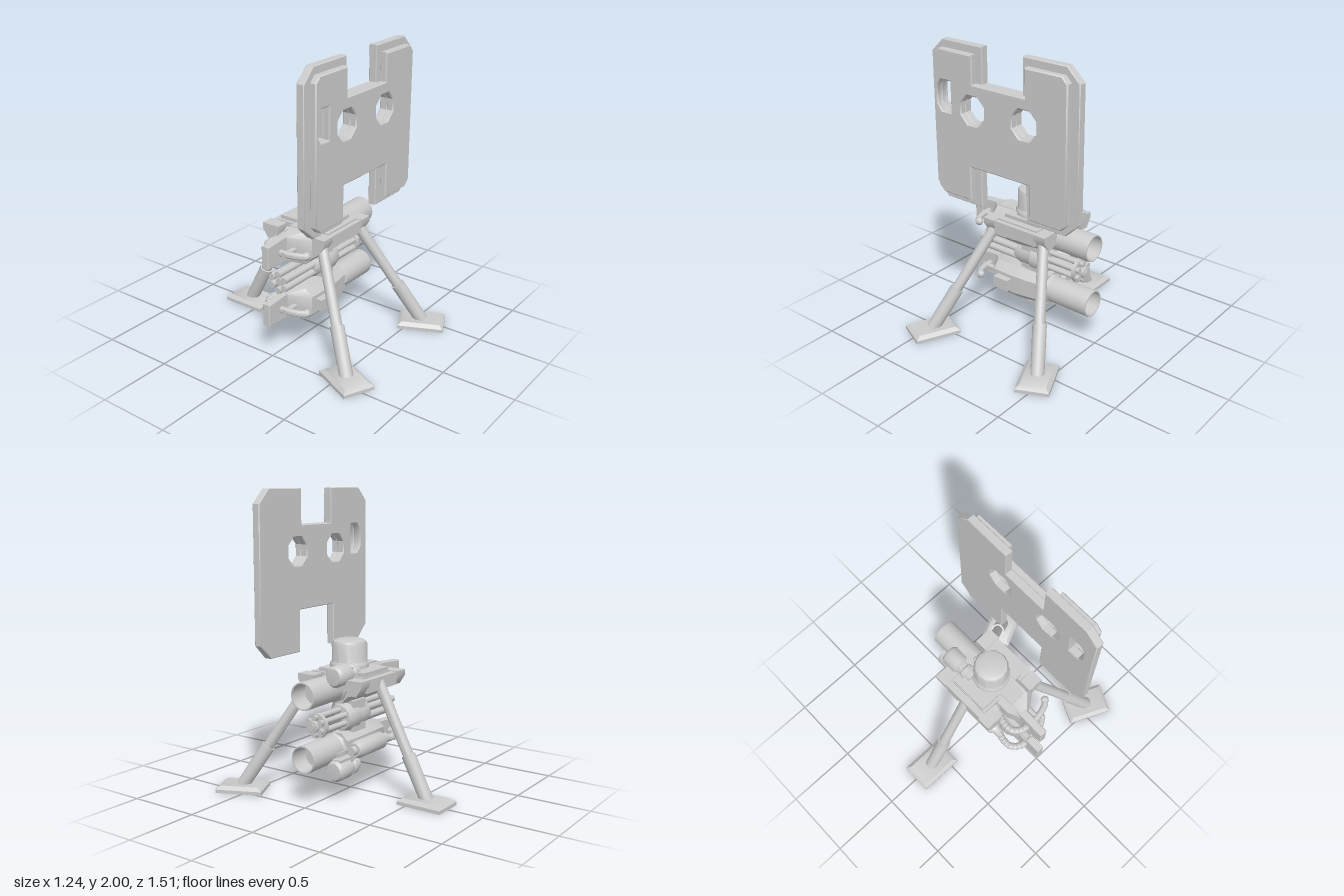
import * as THREE from 'three';
import { toCreasedNormals } from 'three/addons/utils/BufferGeometryUtils.js';

const mat = new THREE.MeshStandardMaterial({ color: 0xcccccc, side: THREE.DoubleSide });
const V = (x, y, z) => new THREE.Vector3(x, y, z);

function add(parent, name, geo, x = 0, y = 0, z = 0) {
  const m = new THREE.Mesh(toCreasedNormals(geo, 0.7), mat);
  m.name = name;
  m.position.set(x, y, z);
  parent.add(m);
  return m;
}
// Box given by its limits
function block(parent, name, x0, x1, y0, y1, z0, z1) {
  return add(parent, name, new THREE.BoxGeometry(x1 - x0, y1 - y0, z1 - z0), (x0 + x1) / 2, (y0 + y1) / 2, (z0 + z1) / 2);
}
// Round bar between two points
function rod(parent, name, a, b, ra, rb = ra, sides = 14) {
  const m = add(parent, name, new THREE.CylinderGeometry(rb, ra, a.distanceTo(b), sides));
  m.position.copy(a).lerp(b, 0.5);
  m.quaternion.setFromUnitVectors(V(0, 1, 0), b.clone().sub(a).normalize());
  return m;
}
// Turned part lying along x; profile is [radius, x]
function turned(parent, name, profile, y, z, sides = 20) {
  const g = new THREE.LatheGeometry(profile.map(p => new THREE.Vector2(p[0], p[1])), sides);
  g.rotateZ(-Math.PI / 2);
  return add(parent, name, g, 0, y, z);
}
// Chamfered-rectangle sections along x: [x, y, z, halfHeight, halfDepth]
function loft(sections, c = 0.5) {
  const ring = [[1, -c], [1, c], [c, 1], [-c, 1], [-1, c], [-1, -c], [-c, -1], [c, -1]];
  const pos = [], idx = [], n = 8;
  for (const [x, y, z, h, d] of sections) for (const [a, b] of ring) pos.push(x, y + a * h, z + b * d);
  const last = (sections.length - 1) * n;
  for (let s = 0; s < last; s += n)
    for (let i = 0; i < n; i++) {
      const a = s + i, b = s + (i + 1) % n;
      idx.push(a, b, b + n, a, b + n, a + n);
    }
  for (let i = 1; i < n - 1; i++) idx.push(0, i + 1, i, last, last + i, last + i + 1);
  const g = new THREE.BufferGeometry();
  g.setAttribute('position', new THREE.Float32BufferAttribute(pos, 3));
  g.setIndex(idx);
  return g.toNonIndexed();
}
const points = list => list.map(p => new THREE.Vector2(p[0], p[1]));

// Plate with notches, two octagonal ports and a slot
function shieldPlate(outline, depth, bevel) {
  const shape = new THREE.Shape(points(outline));
  for (const x of [-0.21, 0.2]) {
    const oct = [];
    for (let i = 0; i < 8; i++) {
      const t = (i + 0.5) * Math.PI / 4;
      oct.push([x + 0.101 * Math.cos(t), 1.595 + 0.101 * Math.sin(t)]);
    }
    shape.holes.push(new THREE.Path(points(oct)));
  }
  shape.holes.push(new THREE.Path(points([[-0.39, 1.545], [-0.39, 1.75], [-0.465, 1.75], [-0.5, 1.705], [-0.5, 1.59], [-0.465, 1.545]])));
  return new THREE.ExtrudeGeometry(shape, {
    depth: depth - bevel, bevelEnabled: true, bevelThickness: bevel, bevelSize: bevel, bevelOffset: -bevel, bevelSegments: 1
  });
}
function outline(w, cut, bottom, top, topNotch, lowNotch, yTop, yLow) {
  const right = [[lowNotch, yLow], [lowNotch, bottom], [w - cut, bottom], [w, bottom + cut],
    [w, top - cut], [w - cut, top], [topNotch, top], [topNotch, yTop]];
  return right.concat(right.map(p => [-p[0], p[1]]).reverse());
}

// Heavy launcher along x; s = 1 carries its scope above, s = -1 below
function launcher(name, y, s) {
  const g = new THREE.Group();
  g.name = name;
  g.position.y = y;
  turned(g, 'barrel', [[0.001, 0.1], [0.088, 0.1], [0.092, 0.48], [0.09, 0.49], [0.082, 0.49], [0.08, 0.36], [0.001, 0.36]], 0, 0.02, 24);
  add(g, 'body', loft([
    [-0.35, 0, -0.01, 0.085, 0.03], [-0.26, 0, 0.03, 0.115, 0.115], [-0.08, 0, 0.03, 0.118, 0.12],
    [0.02, 0, 0.025, 0.112, 0.115], [0.15, 0, 0.02, 0.105, 0.1]], 0.55));
  turned(g, 'barrelCollar', [[0.001, 0.13], [0.104, 0.13], [0.104, 0.165], [0.094, 0.175]], 0, 0.02, 8);
  block(g, 'sideBox', -0.22, -0.1, -0.04, 0.04, 0.13, 0.195);
  block(g, 'ridgeBlock', -0.25, 0.06, s * 0.1 - 0.02, s * 0.1 + 0.02, -0.04, 0.08);
  // Flat tapered stock
  const stock = new THREE.Shape(points([[-0.535, -0.075], [-0.15, -0.1], [-0.15, 0.1], [-0.35, 0.092], [-0.535, 0.078]]));
  add(g, 'stock', new THREE.ExtrudeGeometry(stock, { depth: 0.045, bevelThickness: 0.005, bevelSize: 0.005, bevelOffset: -0.005, bevelSegments: 1 }), 0, 0, -0.04);
  // Curved handle
  const grip = new THREE.CatmullRomCurve3([V(-0.41, 0, 0), V(-0.405, 0, 0.07), V(-0.385, 0, 0.14), V(-0.36, 0, 0.175)]);
  add(g, 'handle', new THREE.TubeGeometry(grip, 12, 0.023, 10));
  add(g, 'handleTip', new THREE.SphereGeometry(0.028, 10, 8), -0.355, 0, 0.175);
  rod(g, 'handleBrace', V(-0.43, 0, 0.05), V(-0.27, 0, 0.05), 0.018);
  // Canister and ribbed hose on the back
  turned(g, 'canister', [[0.001, -0.24], [0.035, -0.24], [0.035, -0.2], [0.058, -0.17], [0.058, 0.1], [0.045, 0.13], [0.03, 0.13], [0.03, 0.17], [0.001, 0.17]], 0, -0.125, 16);
  const hose = new THREE.CatmullRomCurve3([V(-0.41, 0, -0.03), V(-0.4, 0, -0.085), V(-0.36, 0, -0.135), V(-0.3, 0, -0.145), V(-0.22, 0, -0.125)]);
  add(g, 'hose', new THREE.TubeGeometry(hose, 28, 0.023, 10));
  for (let i = 0; i <= 10; i++) {
    const r = add(g, 'hoseRib', new THREE.TorusGeometry(0.022, 0.007, 6, 12));
    r.position.copy(hose.getPointAt(i / 10));
    r.quaternion.setFromUnitVectors(V(0, 0, 1), hose.getTangentAt(i / 10));
  }
  // Scope with rings and mount
  turned(g, 'scope', [[0.001, 0.07], [0.045, 0.07], [0.045, 0.1], [0.062, 0.11], [0.062, 0.14], [0.052, 0.15],
    [0.052, 0.18], [0.07, 0.19], [0.07, 0.295], [0.055, 0.315], [0.001, 0.32]], s * 0.105, -0.09, 18);
  block(g, 'scopeMount', 0.12, 0.29, Math.min(s * 0.03, s * 0.15), Math.max(s * 0.03, s * 0.15), -0.13, -0.02);
  block(g, 'scopeFoot', 0.16, 0.25, Math.min(0, s * 0.09), Math.max(0, s * 0.09), -0.08, 0.04);
  return g;
}

// Six-barrelled gun along x
function rotaryGun() {
  const g = new THREE.Group();
  g.name = 'rotaryGun';
  g.position.y = 0.51;
  for (let i = 0; i < 6; i++) {
    const t = i * Math.PI / 3, y = 0.055 * Math.cos(t), z = 0.055 * Math.sin(t);
    rod(g, 'smallBarrel', V(-0.1, y, z), V(0.4, y, z), 0.019, 0.019, 10);
    rod(g, 'rearTube', V(-0.435, y * 1.05, z * 1.05), V(-0.1, y * 1.05, z * 1.05), 0.024, 0.024, 10);
  }
  rod(g, 'axle', V(-0.42, 0, 0), V(0.43, 0, 0), 0.025);
  turned(g, 'muzzleClamp', [[0.001, 0.35], [0.082, 0.35], [0.082, 0.375], [0.001, 0.375]], 0, 0, 12);
  turned(g, 'muzzleCap', [[0.001, 0.39], [0.04, 0.39], [0.04, 0.42], [0.001, 0.425]], 0, 0, 12);
  turned(g, 'housing', [[0.001, -0.135], [0.075, -0.135], [0.09, -0.09], [0.09, 0], [0.1, 0.01], [0.1, 0.08], [0.085, 0.125], [0.001, 0.135]], 0, 0, 12);
  block(g, 'housingBlock', -0.07, 0.07, -0.1, 0.11, -0.075, 0.075);
  return g;
}

// Telescopic leg with tapered foot pad
function leg(name, top, foot, turn) {
  const g = new THREE.Group();
  g.name = name;
  const knee = top.clone().lerp(foot, 0.65);
  rod(g, 'upperLeg', top, knee, 0.036);
  rod(g, 'lowerLeg', top.clone().lerp(foot, 0.63), foot, 0.047, 0.045);
  const pad = new THREE.BoxGeometry(0.22, 0.045, 0.315, 1, 2, 1), p = pad.attributes.position;
  for (let i = 0; i < p.count; i++) if (p.getY(i) > 0.01) p.setXYZ(i, p.getX(i) * 0.78, p.getY(i), p.getZ(i) * 0.82);
  pad.computeVertexNormals();
  add(g, 'footPad', pad, foot.x, 0.0225, foot.z).rotation.y = turn;
  return g;
}

export function createModel() {
  const model = new THREE.Group();
  model.name = 'shieldedTripodGun';

  // Layered shield
  const shield = new THREE.Group();
  shield.name = 'shield';
  add(shield, 'rearPlate', shieldPlate(outline(0.575, 0.092, 0.93, 2, 0.158, 0.182, 1.765, 1.212), 0.05, 0.005), 0, 0, 0.28);
  add(shield, 'frontPlate', shieldPlate(outline(0.52, 0.042, 0.98, 1.95, 0.205, 0.235, 1.765, 1.212), 0.042, 0.008), 0, 0, 0.333);
  model.add(shield);

  // Tripod
  model.add(leg('backLeg', V(0, 0.78, -0.215), V(0, 0.03, -0.6), 0));
  for (const s of [-1, 1]) model.add(leg(s > 0 ? 'frontLeftLeg' : 'frontRightLeg', V(s * 0.19, 0.77, 0.165), V(s * 0.455, 0.03, 0.565), s * 0.435));

  // Mounting frame with four corner lugs
  const frame = new THREE.Group();
  frame.name = 'mountFrame';
  for (const sx of [-1, 1]) for (const sz of [-1, 1]) {
    const shape = new THREE.Shape(points([[0.11, 0.805], [0.24, 0.805], [0.24, 0.765], [0.2, 0.705], [0.14, 0.705], [0.11, 0.765]].map(p => [-sz * p[0], p[1]])));
    const lug = new THREE.ExtrudeGeometry(shape, { depth: 0.092, bevelEnabled: false });
    lug.rotateY(Math.PI / 2);
    add(frame, 'cornerLug', lug, sx * 0.21 - 0.046, 0, sz < 0 ? -0.025 : 0);
  }
  block(frame, 'frontCrossbar', -0.17, 0.17, 0.715, 0.8, 0.18, 0.232);
  block(frame, 'rearCrossbar', -0.17, 0.17, 0.715, 0.8, -0.255, -0.2);
  block(frame, 'bedPlate', -0.16, 0.16, 0.755, 0.81, -0.21, 0.2);
  block(frame, 'topPlate', -0.14, 0.14, 0.8, 0.835, -0.205, 0.155);
  model.add(frame);

  // Rotating head on top
  const head = new THREE.LatheGeometry(points([[0.001, 0.82], [0.13, 0.82], [0.13, 0.86], [0.118, 0.875], [0.118, 0.99], [0.108, 1.01], [0.08, 1.02], [0.001, 1.02]]), 12);
  add(model, 'turretHead', head, 0, 0, 0.008);

  // Central spindle and weapons
  rod(model, 'spindle', V(-0.01, 0.17, 0.02), V(-0.01, 0.82, 0.02), 0.033);
  for (const y of [0.195, 0.415, 0.615]) rod(model, 'spindleCollar', V(-0.01, y - 0.018, 0.02), V(-0.01, y + 0.018, 0.02), 0.06);
  model.add(launcher('upperLauncher', 0.72, 1), rotaryGun(), launcher('lowerLauncher', 0.31, -1));
  return model;
}
